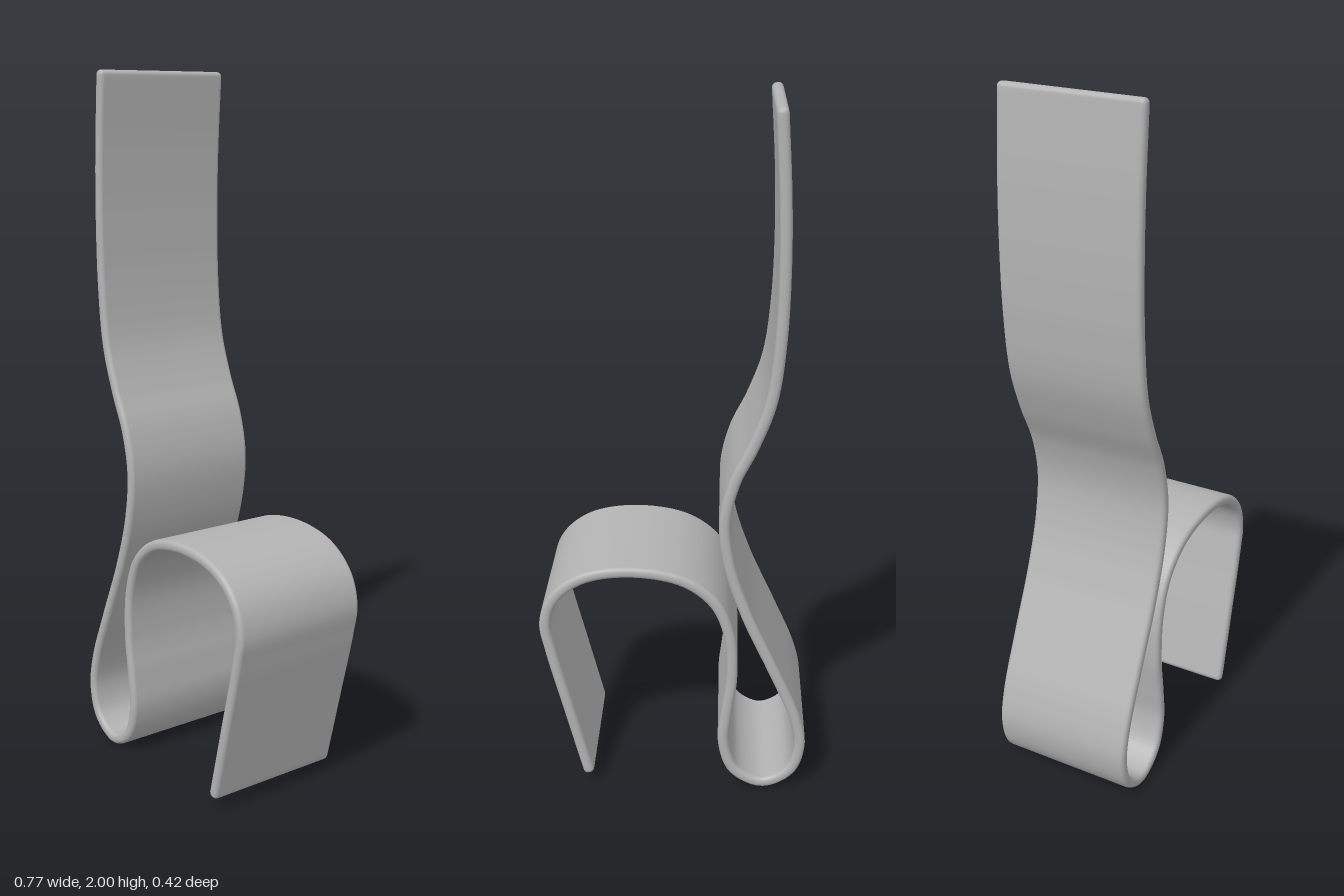
import * as THREE from 'three';

const HALF_T = 0.016;  // half thickness of the strip
const HALF_W = 0.209;  // half width of the strip
const R = 0.013;       // edge rounding
const CORNER = 4;      // steps per rounded edge
const STEPS = 240;     // sections along the bend

// Centreline of the bent strip, from the tall free end to the hook tip
const PATH = [
  [-0.264, 1.987], [-0.278, 1.78], [-0.283, 1.6], [-0.278, 1.4], [-0.258, 1.235],
  [-0.215, 1.11], [-0.165, 1.0], [-0.14, 0.88], [-0.155, 0.745], [-0.205, 0.59],
  [-0.285, 0.41], [-0.352, 0.25], [-0.37, 0.15], [-0.342, 0.06], [-0.262, 0.017],
  [-0.178, 0.06], [-0.146, 0.155], [-0.152, 0.25], [-0.167, 0.38], [-0.158, 0.52],
  [-0.115, 0.625], [-0.025, 0.695], [0.13, 0.721], [0.265, 0.695], [0.343, 0.63],
  [0.369, 0.55], [0.357, 0.47], [0.307, 0.26], [0.256, 0.05],
];

// Rounded rectangle in (normal, z), counter-clockwise, with edge radius r
function ring(r) {
  const pts = [];
  const signs = [[1, 1], [-1, 1], [-1, -1], [1, -1]];
  signs.forEach(([sn, sz], k) => {
    for (let i = 0; i <= CORNER; i++) {
      const a = (k + i / CORNER) * Math.PI / 2;
      pts.push([sn * (HALF_T - R) + r * Math.cos(a), sz * (HALF_W - R) + r * Math.sin(a)]);
    }
  });
  return pts;
}

function stripGeometry() {
  const curve = new THREE.CatmullRomCurve3(PATH.map(([x, y]) => new THREE.Vector3(x, y, 0)));
  curve.arcLengthDivisions = 1000;

  // Sections: u along the curve, push past the end, edge radius
  const sections = [];
  for (let i = CORNER; i > 0; i--) {
    const a = i / CORNER * Math.PI / 2;
    sections.push([0, -R * Math.sin(a), R * Math.cos(a)]);
  }
  for (let i = 0; i <= STEPS; i++) sections.push([i / STEPS, 0, R]);
  for (let i = 1; i <= CORNER; i++) {
    const a = i / CORNER * Math.PI / 2;
    sections.push([1, R * Math.sin(a), R * Math.cos(a)]);
  }

  const pos = [], idx = [];
  const M = 4 * (CORNER + 1);
  sections.forEach(([u, push, r], s) => {
    const t = curve.getTangentAt(u);
    const c = curve.getPointAt(u).addScaledVector(t, push);
    for (const [n, z] of ring(r)) pos.push(c.x - t.y * n, c.y + t.x * n, z);
    if (s === sections.length - 1) return;
    for (let j = 0; j < M; j++) {
      const a = s * M + j, b = s * M + (j + 1) % M;
      idx.push(a, b, b + M, a, b + M, a + M);
    }
  });

  // Close both ends
  const last = (sections.length - 1) * M;
  for (let j = 1; j < M - 1; j++) {
    idx.push(0, j + 1, j);
    idx.push(last, last + j, last + j + 1);
  }

  const g = new THREE.BufferGeometry();
  g.setAttribute('position', new THREE.Float32BufferAttribute(pos, 3));
  g.setIndex(idx);
  g.computeVertexNormals();
  return g;
}

export function createModel() {
  const metal = new THREE.MeshStandardMaterial({ color: 0xb3b3b3 });
  metal.name = 'grey metal';

  const group = new THREE.Group();
  group.name = 'bentStripHook';
  const strip = new THREE.Mesh(stripGeometry(), metal);
  strip.name = 'bentStrip';
  group.add(strip);
  return group;
}
